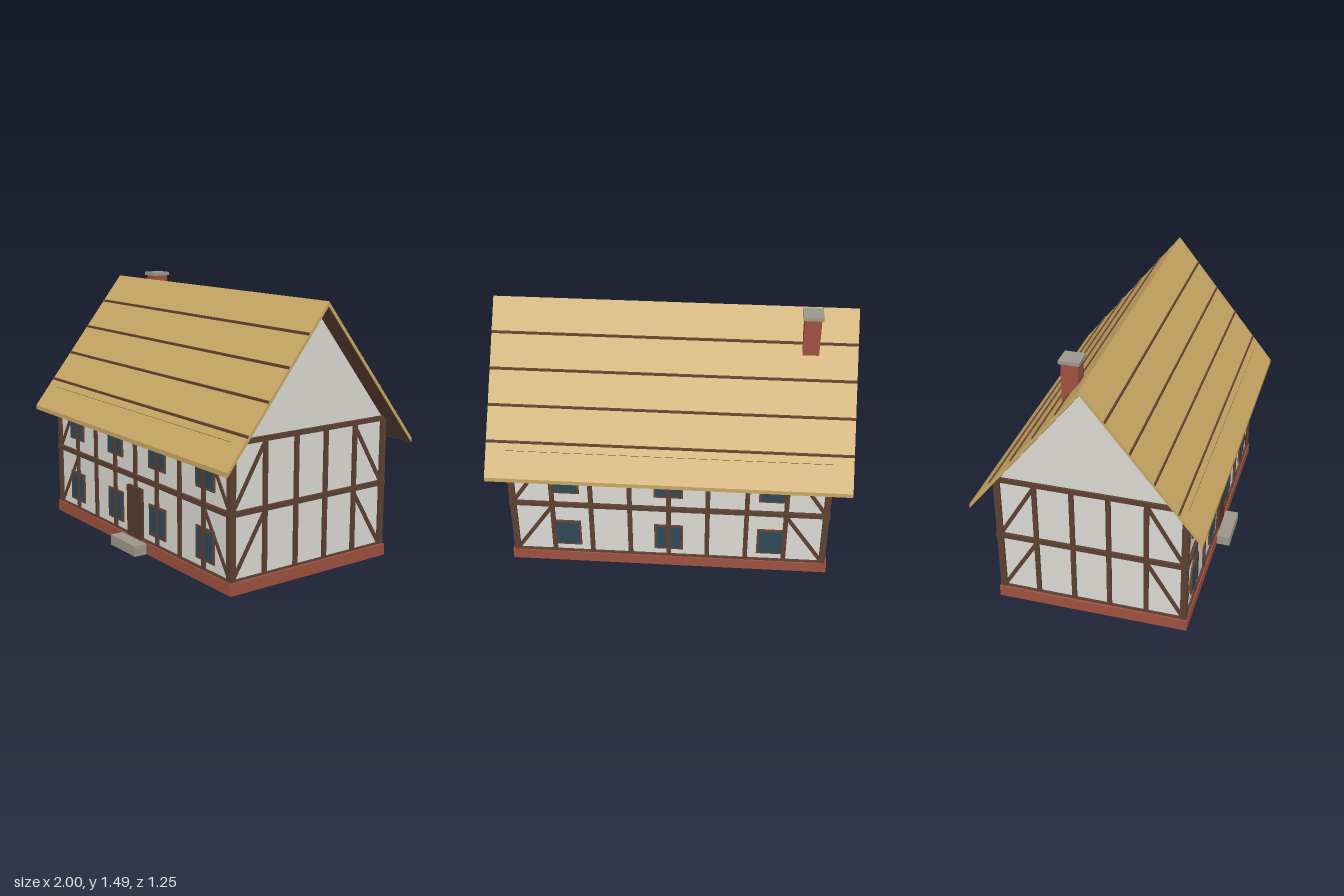
import * as THREE from 'three';

const mat = (name, color, side = THREE.FrontSide) => {
  const m = new THREE.MeshStandardMaterial({ color, side });
  m.name = name;
  return m;
};

export function createModel() {
  const M = {
    plaster: mat('plaster', 0xdbd9d2),
    timber: mat('timber', 0x5c4033),
    thatch: mat('thatch', 0xc8a764),
    brick: mat('brick', 0x9e5140, THREE.DoubleSide),
    stone: mat('stone', 0x9c978b, THREE.DoubleSide),
    frame: mat('window frame', 0x6b4433),
    glass: mat('glass', 0x2f4858),
    door: mat('door', 0x563a2f),
  };
  const house = new THREE.Group();
  house.name = 'house';

  const add = (parent, name, geo, material) => {
    const m = new THREE.Mesh(geo, material);
    m.name = name;
    parent.add(m);
    return m;
  };
  // Box given by its minimum and maximum corners
  const box = (parent, name, a, b, material) => {
    const m = add(parent, name, new THREE.BoxGeometry(b[0] - a[0], b[1] - a[1], b[2] - a[2]), material);
    m.position.set((a[0] + b[0]) / 2, (a[1] + b[1]) / 2, (a[2] + b[2]) / 2);
    return m;
  };
  // Box without its bottom face
  const openBox = (...args) => {
    const m = box(house, ...args);
    const g = m.geometry, idx = Array.from(g.index.array);
    idx.splice(18, 6);
    g.setIndex(idx);
    g.clearGroups();
    return m;
  };
  // Cross-section in (z, y), extruded along x
  const prism = (name, pts, length, material) => {
    const shape = new THREE.Shape(pts.map(p => new THREE.Vector2(...p)));
    const g = new THREE.ExtrudeGeometry(shape, { depth: length, bevelEnabled: false });
    g.translate(0, 0, -length / 2).rotateY(Math.PI / 2);
    return add(house, name, g, material);
  };

  // Base and walls with gables
  openBox('plinth', [-0.91, 0, -0.535], [0.91, 0.065, 0.535], M.brick);
  openBox('doorStep', [-0.13, 0, 0.535], [0.13, 0.06, 0.612], M.stone);
  prism('walls', [[-0.515, 0.066], [0.515, 0.066], [0.515, 0.78], [0, 1.425], [-0.515, 0.78]], 1.77, M.plaster);

  // Half-timbering of one wall: u runs along the wall, depth points outwards
  const facade = (name, angle, half, dist, posts, windows) => {
    const g = new THREE.Group();
    g.name = name;
    g.rotation.y = angle;
    house.add(g);
    const plate = (n, u0, u1, y0, y1, out, material) =>
      box(g, n, [u0, y0, dist - 0.005], [u1, y1, dist + out], material);

    for (const u of posts) plate('post', u - 0.013, u + 0.013, 0.066, 0.78, 0.013, M.timber);
    plate('sill', -half, half, 0.066, 0.075, 0.013, M.timber);
    plate('middleBeam', -half - 0.004, half + 0.004, 0.405, 0.433, 0.017, M.timber);
    plate('topBeam', -half, half, 0.768, 0.795, 0.015, M.timber);

    // Diagonal braces in the end bays, rising towards the middle
    for (const s of [-1, 1]) for (const [y0, y1] of [[0.08, 0.4], [0.437, 0.765]]) {
      const ua = s * (half - 0.028), ub = s * Math.abs(posts[0]);
      const len = Math.hypot(ub - ua, y1 - y0);
      const b = add(g, 'brace', new THREE.BoxGeometry(len, 0.022, 0.012), M.timber);
      b.position.set((ua + ub) / 2, (y0 + y1) / 2, dist);
      b.rotation.z = Math.atan2(y1 - y0, ub - ua);
    }
    // Two storeys of windows
    for (const u of windows) for (const y of [0.205, 0.59]) {
      plate('windowFrame', u - 0.082, u + 0.082, y - 0.09, y + 0.09, 0.008, M.frame);
      plate('windowPane', u - 0.07, u + 0.07, y - 0.078, y + 0.078, 0.01, M.glass);
    }
  };
  const longPosts = [-0.66, -0.44, -0.22, 0, 0.22, 0.44, 0.66];
  const gablePosts = [-0.305, -0.1, 0.1, 0.305];
  facade('frontWall', 0, 0.9, 0.515, longPosts, [-0.67, -0.22, 0.22, 0.67]);
  facade('backWall', Math.PI, 0.9, 0.515, longPosts, [-0.585, 0, 0.585]);
  facade('leftGableWall', Math.PI / 2, 0.53, 0.885, gablePosts, []);
  facade('rightGableWall', -Math.PI / 2, 0.53, 0.885, gablePosts, []);
  for (const sx of [-1, 1]) for (const sz of [-1, 1]) {
    const p = add(house, 'cornerPost', new THREE.BoxGeometry(0.035, 0.71, 0.035), M.timber);
    p.position.set(sx * 0.8825, 0.421, sz * 0.5125);
  }

  // Front door
  box(house, 'door', [-0.074, 0.066, 0.515], [0.074, 0.36, 0.535], M.door);

  // Roof: a bent slab with a timber lining underneath
  const ridge = 1.455, eave = 0.675, span = 0.625;
  const chevron = (top, bottom, w) => {
    const drop = (ridge - eave) * w / span;
    return [[-w, ridge - top - drop], [-w, ridge - bottom - drop], [w - w, ridge - bottom],
      [w, ridge - bottom - drop], [w, ridge - top - drop], [0, ridge - top]];
  };
  prism('roof', chevron(0, 0.025, span), 2, M.thatch);
  prism('roofLining', chevron(0.024, 0.028, span - 0.004), 1.992, M.timber);

  // Course lines across both slopes
  for (const s of [-1, 1]) for (let i = 1; i <= 4; i++) {
    const z = i * 0.125, y = ridge - (ridge - eave) * z / span;
    const c = add(house, 'roofCourse', new THREE.BoxGeometry(2, 0.014, 0.008), M.frame);
    c.position.set(0, y + 0.002, s * z);
  }

  // Chimney
  box(house, 'chimney', [-0.79, 1.1, -0.165], [-0.7, 1.468, -0.075], M.brick);
  box(house, 'chimneyCap', [-0.8, 1.468, -0.174], [-0.69, 1.488, -0.064], M.stone);

  return house;
}
